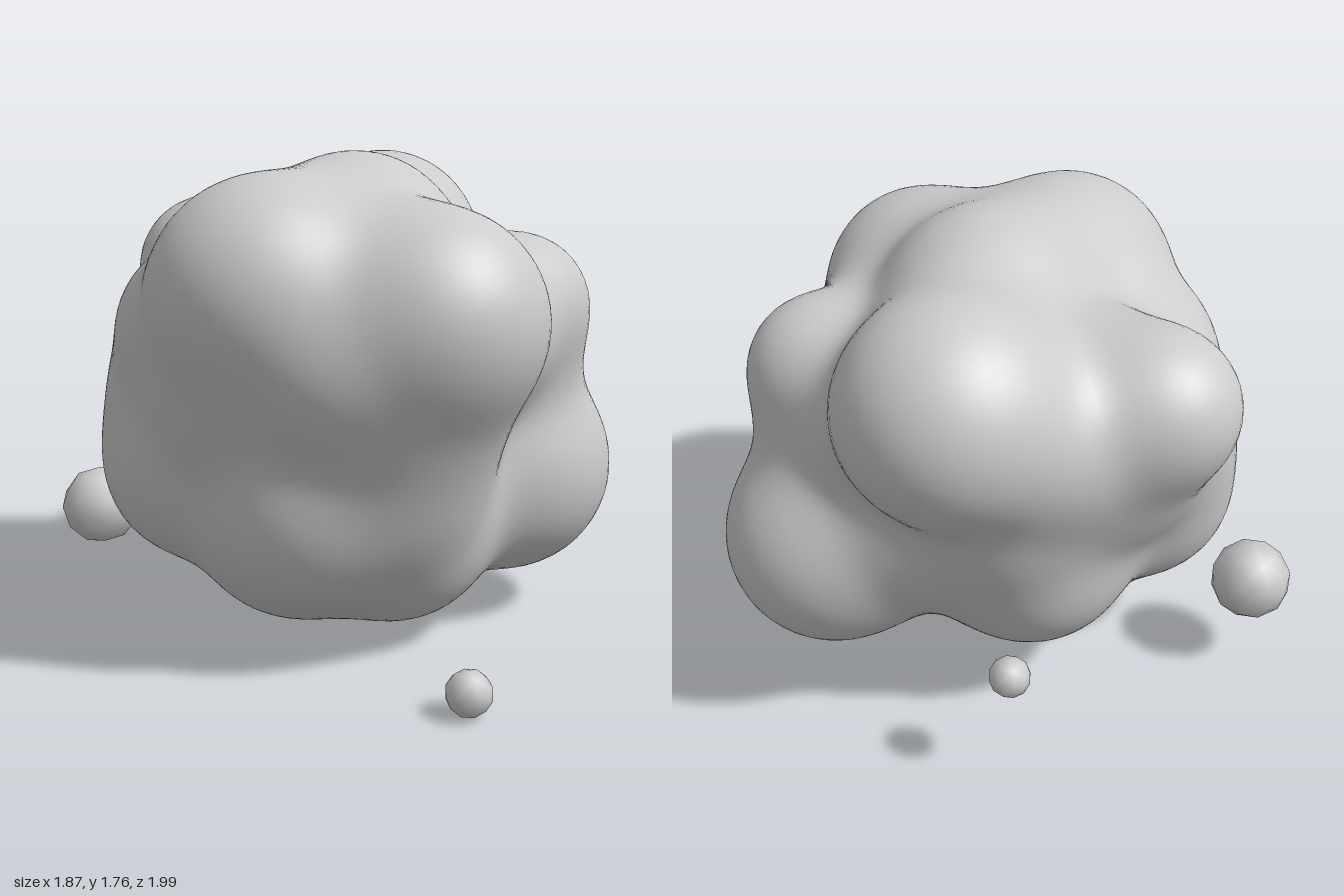
import * as THREE from 'three';
import { mergeVertices } from 'three/addons/utils/BufferGeometryUtils.js';

const material = new THREE.MeshStandardMaterial({ color: 0xcccccc });

// Lobes that melt together into the body: x, y, z, radius
const lobes = [
  [0, 0.92, 0, 0.5],           // core
  [-0.23, 1.23, 0.61, 0.37],   // front upper
  [-0.21, 0.92, 0.44, 0.34],   // below front upper
  [-0.25, 1.32, 0.35, 0.26],   // front upper to crown
  [0.13, 1.13, 0.48, 0.27],    // front upper to small bump
  [0.53, 0.56, 0.37, 0.41],    // lower front right
  [0.45, 1.2, 0.48, 0.25],     // small front bump
  [0.48, 0.95, 0.44, 0.21],    // below small front bump
  [0.47, 1.12, 0.14, 0.26],    // small front bump to upper right
  [0.42, 0.74, 0.02, 0.28],    // lower front right to back
  [0.54, 1.35, -0.24, 0.38],   // upper back right
  [0.3, 0.9, -0.26, 0.32],     // below upper back right
  [-0.54, 1.31, 0.13, 0.385],  // upper left
  [-0.46, 1.08, 0.37, 0.29],   // upper left to front
  [-0.46, 0.95, 0.0, 0.32],    // below upper left
  [-0.46, 1.15, -0.26, 0.28],  // upper left to back
  [0.0, 1.39, 0.08, 0.36],     // crown
  [-0.28, 1.36, 0.08, 0.29],   // crown to upper left
  [0.28, 1.34, -0.08, 0.29],   // crown to upper right
  [0.0, 1.29, -0.69, 0.265],   // back bump
  [0.0, 1.28, -0.42, 0.23],    // back bump to crown
  [0.0, 1.02, -0.48, 0.3],     // below back bump
  [0.28, 1.18, -0.44, 0.27],   // back bump to right
  [-0.25, 1.02, -0.44, 0.28],  // back bump to left
  [-0.39, 0.62, -0.35, 0.345], // lower back left
  [-0.34, 0.85, -0.4, 0.3],    // above lower back left
  [-0.37, 0.55, 0.18, 0.34],   // lower left
  [-0.3, 0.44, 0.02, 0.31],    // underside left
  [-0.18, 0.66, 0.36, 0.33],   // lower front
  [0.0, 0.41, 0.27, 0.34],     // underside front
  [0.05, 0.42, -0.08, 0.3],    // underside back
  [0.14, 0.6, -0.27, 0.35],    // lower back
].map(([x, y, z, r]) => ({ c: new THREE.Vector3(x, y, z), r }));

// Smooth union of the lobes: negative inside
const BLEND = 0.07;
function field(p) {
  let sum = 0;
  for (const { c, r } of lobes) sum += Math.exp((r - p.distanceTo(c)) / BLEND);
  return -BLEND * Math.log(sum);
}

function smooth(geometry) {
  geometry.deleteAttribute('normal');
  geometry.deleteAttribute('uv');
  const merged = mergeVertices(geometry, 1e-4);
  merged.computeVertexNormals();
  return merged;
}

// Body: a sphere whose vertices are drawn in until they meet the lobes
function bodyGeometry() {
  const geometry = smooth(new THREE.IcosahedronGeometry(1, 24));
  const centre = new THREE.Vector3(0, 0.92, 0.04);
  const pos = geometry.attributes.position;
  const dir = new THREE.Vector3();
  const p = new THREE.Vector3();
  for (let i = 0; i < pos.count; i++) {
    dir.fromBufferAttribute(pos, i).normalize();
    let t = 1.6;
    for (let step = 0; step < 60; step++) {
      const d = field(p.copy(centre).addScaledVector(dir, t));
      if (Math.abs(d) < 0.0005) break;
      t -= d * 0.9;
    }
    pos.setXYZ(i, p.x, p.y, p.z);
  }
  geometry.computeVertexNormals();
  return geometry;
}

export function createModel() {
  const model = new THREE.Group();
  model.name = 'blob';

  const body = new THREE.Mesh(bodyGeometry(), material);
  body.name = 'body';
  model.add(body);

  // Loose droplets around the body
  const droplets = [
    ['frontDroplet', -0.42, 0.08, 0.91, 0.08],
    ['backDroplet', -0.46, 0.37, -0.85, 0.152],
    ['sideDroplet', 0.64, 0.48, -0.585, 0.073],
  ];
  for (const [name, x, y, z, r] of droplets) {
    const droplet = new THREE.Mesh(smooth(new THREE.IcosahedronGeometry(r, 1)), material);
    droplet.name = name;
    droplet.position.set(x, y, z);
    model.add(droplet);
  }
  return model;
}
